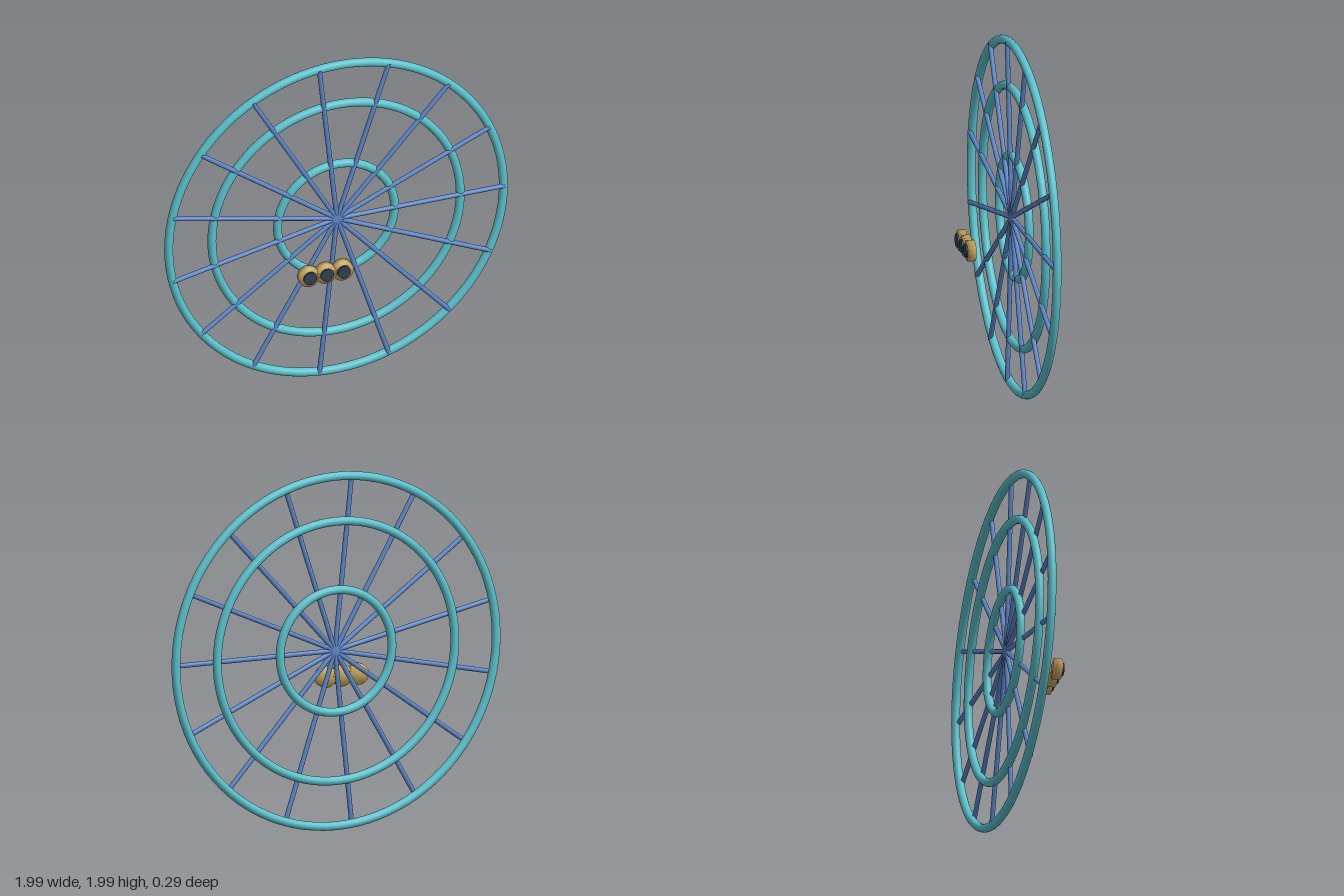
import * as THREE from 'three';
import { mergeVertices } from 'three/addons/utils/BufferGeometryUtils.js';

const material = (name, color) => {
  const m = new THREE.MeshStandardMaterial({ color });
  m.name = name;
  return m;
};

// Short disc facing +z, shaded softly across its rim
function softDisc(radius, depth) {
  const g = new THREE.CylinderGeometry(radius, radius, depth, 32);
  g.rotateX(Math.PI / 2);
  g.deleteAttribute('normal');
  g.deleteAttribute('uv');
  const merged = mergeVertices(g, 1e-4);
  merged.computeVertexNormals();
  return merged;
}

export function createModel() {
  const model = new THREE.Group();
  model.name = 'spokedWheel';
  const teal = material('teal', 0x5bc0cb);
  const blue = material('blue', 0x5f87c8);
  const gold = material('gold', 0xc4a55e);
  const slate = material('slate', 0x333e50);

  const add = (parent, name, geometry, mat, x, y, z) => {
    const mesh = new THREE.Mesh(geometry, mat);
    mesh.name = name;
    mesh.position.set(x, y, z);
    parent.add(mesh);
    return mesh;
  };

  // Three concentric rings
  const wheel = new THREE.Group();
  wheel.name = 'wheel';
  wheel.position.set(0, 1, -0.12);
  model.add(wheel);
  const rings = [['innerRing', 0.34], ['middleRing', 0.722], ['outerRing', 0.973]];
  for (const [name, radius] of rings) {
    add(wheel, name, new THREE.TorusGeometry(radius, 0.024, 16, 96), teal, 0, 0, 0);
  }

  // Spokes radiate from the centre, set slightly forward of the rings
  const length = 0.975, count = 15;
  const spoke = new THREE.CylinderGeometry(0.0135, 0.0135, length, 10);
  spoke.rotateZ(-Math.PI / 2);
  spoke.translate(length / 2, 0, 0);
  for (let i = 0; i < count; i++) {
    add(wheel, 'spoke', spoke, blue, 0, 0, 0.014).rotation.z = (i / count) * Math.PI * 2;
  }

  // Row of three gauges floating in front, each with a dark face
  const gauges = new THREE.Group();
  gauges.name = 'gauges';
  model.add(gauges);
  const body = softDisc(0.059, 0.039);
  const face = new THREE.CylinderGeometry(0.038, 0.038, 0.009, 32).rotateX(Math.PI / 2);
  for (let i = -1; i <= 1; i++) {
    const x = -0.148 + i * 0.098;
    add(gauges, 'gaugeBody', body, gold, x, 0.81, 0.112);
    add(gauges, 'gaugeFace', face, slate, x, 0.81, 0.1405);
  }
  return model;
}
